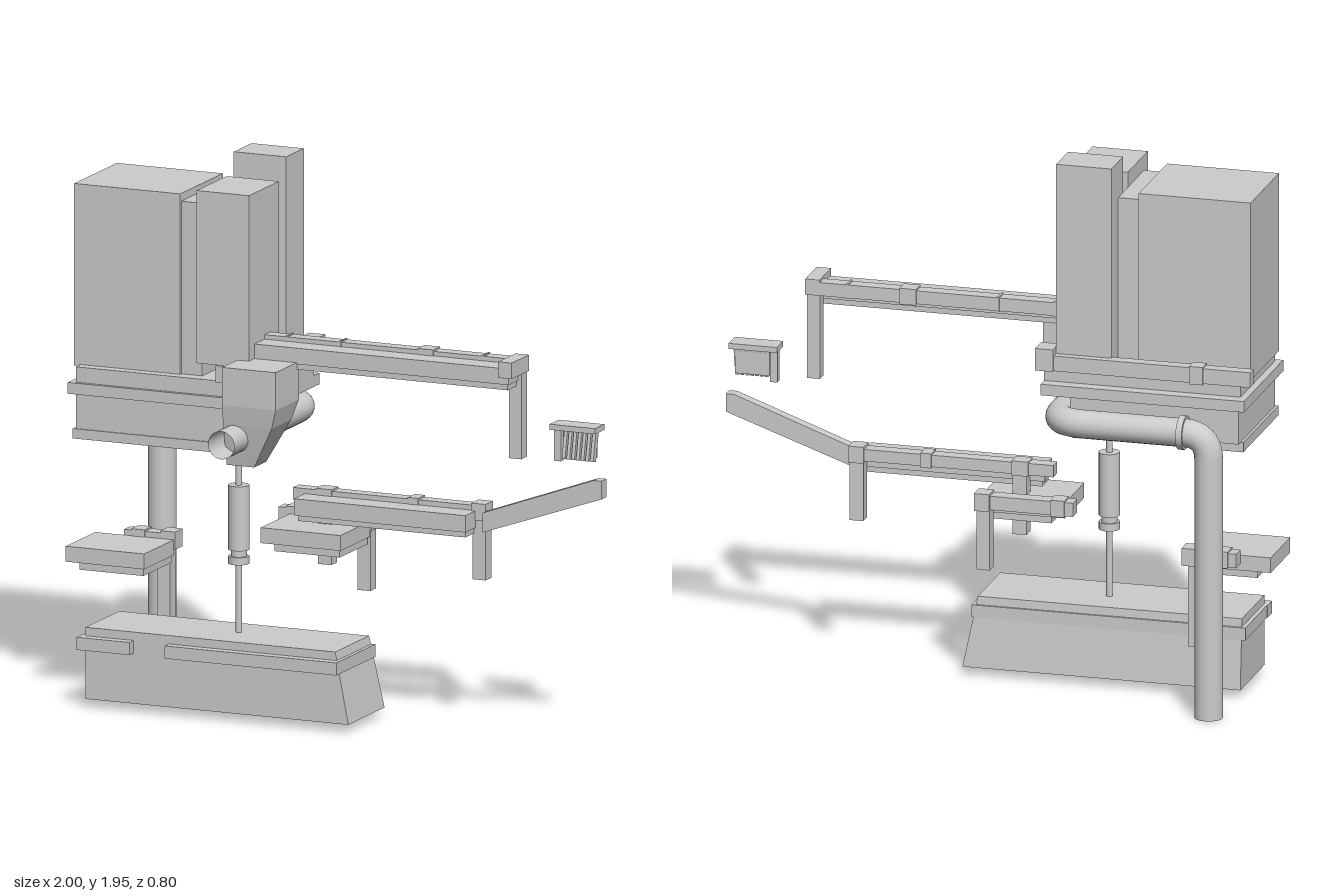
import * as THREE from 'three';

export function createModel() {
  const root = new THREE.Group();
  const mat = new THREE.MeshStandardMaterial({ color: 0xcccccc, flatShading: true });
  const smooth = new THREE.MeshStandardMaterial({ color: 0xcccccc, side: THREE.DoubleSide });

  const add = (name, geometry, material = mat) => {
    const mesh = new THREE.Mesh(geometry, material);
    mesh.name = name;
    root.add(mesh);
    return mesh;
  };
  // Box given by its min and max on each axis
  const box = (name, x0, x1, y0, y1, z0, z1) => {
    const g = new THREE.BoxGeometry(x1 - x0, y1 - y0, z1 - z0);
    g.translate((x0 + x1) / 2, (y0 + y1) / 2, (z0 + z1) / 2);
    return add(name, g);
  };
  // Box whose bottom face has its own extents
  const taper = (name, y0, y1, top, bottom) => {
    const g = new THREE.BoxGeometry(1, 1, 1);
    const p = g.attributes.position;
    for (let i = 0; i < p.count; i++) {
      const up = p.getY(i) > 0, r = up ? top : bottom;
      p.setXYZ(i, r[p.getX(i) > 0 ? 1 : 0], up ? y1 : y0, r[p.getZ(i) > 0 ? 3 : 2]);
    }
    g.computeVertexNormals();
    return add(name, g);
  };
  const cylinder = (name, r, y0, y1, x, z) => {
    const g = new THREE.CylinderGeometry(r, r, y1 - y0, 24);
    g.translate(x, (y0 + y1) / 2, z);
    return add(name, g, smooth);
  };
  // Side rail with slightly raised joint collars
  const rail = (name, x0, x1, y0, y1, z0, z1, collars = []) => {
    box(name, x0, x1, y0, y1, z0, z1);
    for (const [a, b] of collars) box(name + 'Collar', a, b, y0 - 0.004, y1 + 0.006, z0 - 0.005, z1 + 0.004);
  };

  // Towers
  box('mainTower', -0.945, -0.54, 1.2, 1.848, -0.22, 0.14);
  box('towerLink', -0.54, -0.46, 1.2, 1.82, -0.2, 0.13);
  box('frontTower', -0.46, -0.26, 1.26, 1.875, -0.075, 0.177);
  box('frontTowerFoot', -0.385, -0.26, 1.2, 1.26, -0.06, 0.185);
  box('rearTower', -0.46, -0.26, 1.2, 1.95, -0.285, -0.135);

  // Stacked upper hull
  box('deckSlab', -0.92, -0.21, 1.15, 1.205, -0.26, 0.18);
  box('deckLedge', -0.945, -0.21, 1.11, 1.15, -0.306, 0.195);
  box('hullBlock', -0.92, -0.31, 0.985, 1.11, -0.285, 0.18);
  box('hullBase', -0.93, -0.31, 0.95, 0.985, -0.26, 0.185);
  rail('deckRail', -0.97, -0.26, 1.205, 1.26, -0.315, -0.27, [[-0.8, -0.75]]);
  box('deckRailEnd', -0.26, -0.195, 1.205, 1.285, -0.325, -0.248);

  // Front head with tapered nozzle
  box('headBlock', -0.305, -0.1, 1.15, 1.285, 0.11, 0.305);
  taper('headMiddle', 1.08, 1.15, [-0.305, -0.1, 0.11, 0.305], [-0.305, -0.12, 0.13, 0.295]);
  taper('headNozzle', 0.93, 1.08, [-0.305, -0.12, 0.13, 0.295], [-0.305, -0.2, 0.165, 0.265]);

  // Bent pipe
  const V = (x, y, z) => new THREE.Vector3(x, y, z);
  const path = new THREE.CurvePath();
  const zb = -0.342, yp = 1.03, xl = -0.828, xr = -0.265;
  path.add(new THREE.LineCurve3(V(xr, yp, 0.4), V(xr, yp, zb + 0.11)));
  path.add(new THREE.QuadraticBezierCurve3(V(xr, yp, zb + 0.11), V(xr, yp, zb), V(xr - 0.11, yp, zb)));
  path.add(new THREE.LineCurve3(V(xr - 0.11, yp, zb), V(xl + 0.09, yp, zb)));
  path.add(new THREE.QuadraticBezierCurve3(V(xl + 0.09, yp, zb), V(xl, yp, zb), V(xl, yp - 0.09, zb)));
  path.add(new THREE.LineCurve3(V(xl, yp - 0.09, zb), V(xl, 0, zb)));
  add('pipe', new THREE.TubeGeometry(path, 160, 0.05, 24), smooth);
  const flange = new THREE.CylinderGeometry(0.06, 0.06, 0.022, 24);
  flange.rotateZ(Math.PI / 2).translate(-0.735, yp, zb);
  add('pipeFlange', flange, smooth);

  // Vertical rod with sleeve
  cylinder('rod', 0.011, 0.28, 0.96, -0.358, 0.047);
  cylinder('sleeve', 0.037, 0.58, 0.81, -0.358, 0.047);
  cylinder('sleeveNeck', 0.028, 0.55, 0.58, -0.358, 0.047);
  cylinder('sleeveCollar', 0.037, 0.53, 0.557, -0.358, 0.047);

  // Bottom trough
  taper('trough', 0.03, 0.285, [-0.875, 0.08, -0.085, 0.2], [-0.875, 0.13, -0.105, 0.2]);
  box('troughBand', -0.89, 0.1, 0.21, 0.255, -0.095, 0.19);
  box('troughRailShort', -0.893, -0.69, 0.21, 0.255, 0.18, 0.235);
  box('troughRailLong', -0.556, 0.1, 0.21, 0.255, 0.18, 0.235);

  // Side shelves, each with a rear rail, end block and leg: [left, right, top, leg bottom]
  for (const [x0, x1, y, foot] of [[-1, -0.7, 0.54, 0.21], [-0.255, 0.05, 0.675, 0.425]]) {
    box('shelf', x0, x1, y - 0.055, y, -0.158, 0.09);
    box('shelfUnderside', x0 + 0.05, x1 - 0.005, y - 0.08, y - 0.055, -0.15, 0.085);
    const r0 = foot < 0.3 ? -0.89 : -0.3;
    rail('shelfRail', r0, x1, y - 0.03, y + 0.02, -0.212, -0.158, [[r0 + 0.03, r0 + 0.08]]);
    box('shelfEndBlock', x1 - 0.05, x1 + 0.005, y - 0.035, y + 0.028, -0.222, -0.158);
    const lx = foot < 0.3 ? -0.765 : 0;
    box('shelfLeg', lx, lx + 0.048, foot, y - 0.02, -0.215, -0.165);
  }

  // Middle conveyor
  box('conveyorBody', -0.155, 0.5, 0.715, 0.775, -0.06, 0.03);
  box('conveyorUnderside', -0.145, 0.495, 0.695, 0.715, -0.055, 0.02);
  rail('conveyorRail', -0.2, 0.5, 0.75, 0.793, -0.11, -0.06, [[-0.11, -0.05], [0.24, 0.28]]);
  box('conveyorEndBlock', 0.485, 0.54, 0.742, 0.802, -0.115, -0.052);
  for (const x of [-0.102, 0.488]) box('conveyorLeg', x, x + 0.05, 0.53, 0.76, -0.107, -0.057);

  // Inclined ramp
  const ramp = new THREE.Shape([[0.545, 0.71], [1, 0.87], [1, 0.935], [0.97, 0.935], [0.545, 0.78]]
    .map(([x, y]) => new THREE.Vector2(x, y)));
  add('ramp', new THREE.ExtrudeGeometry(ramp, { depth: 0.042, bevelEnabled: false }).translate(0, 0, -0.055));

  // Upper boom
  box('boomBody', -0.27, 0.71, 1.28, 1.337, 0.045, 0.13);
  box('boomUnderside', -0.27, 0.705, 1.26, 1.28, 0.05, 0.125);
  rail('boomRail', -0.27, 0.68, 1.305, 1.353, -0.005, 0.045, [[0.325, 0.385]]);
  for (const x of [-0.18, 0.025, 0.57]) box('boomRailJoint', x, x + 0.008, 1.303, 1.357, -0.007, 0.047);
  box('boomEndBlock', 0.675, 0.727, 1.305, 1.362, -0.005, 0.14);
  box('boomLeg', 0.675, 0.722, 1, 1.32, 0, 0.048);

  // Small detached platform with hanging slats
  box('platform', 0.81, 0.985, 1.105, 1.125, -0.072, 0.006);
  box('platformPost', 0.815, 0.842, 0.99, 1.11, -0.05, -0.02);
  for (let i = 0; i < 7; i++) {
    const slat = box('platformSlat', -0.006, 0.006, -0.055, 0.055, -0.012, 0.012);
    slat.position.set(0.86 + i * 0.018, 1.055, -0.025);
    slat.rotation.x = -0.22;
  }
  box('platformSkirt', 0.845, 0.97, 1.01, 1.105, -0.045, -0.035);
  return root;
}
